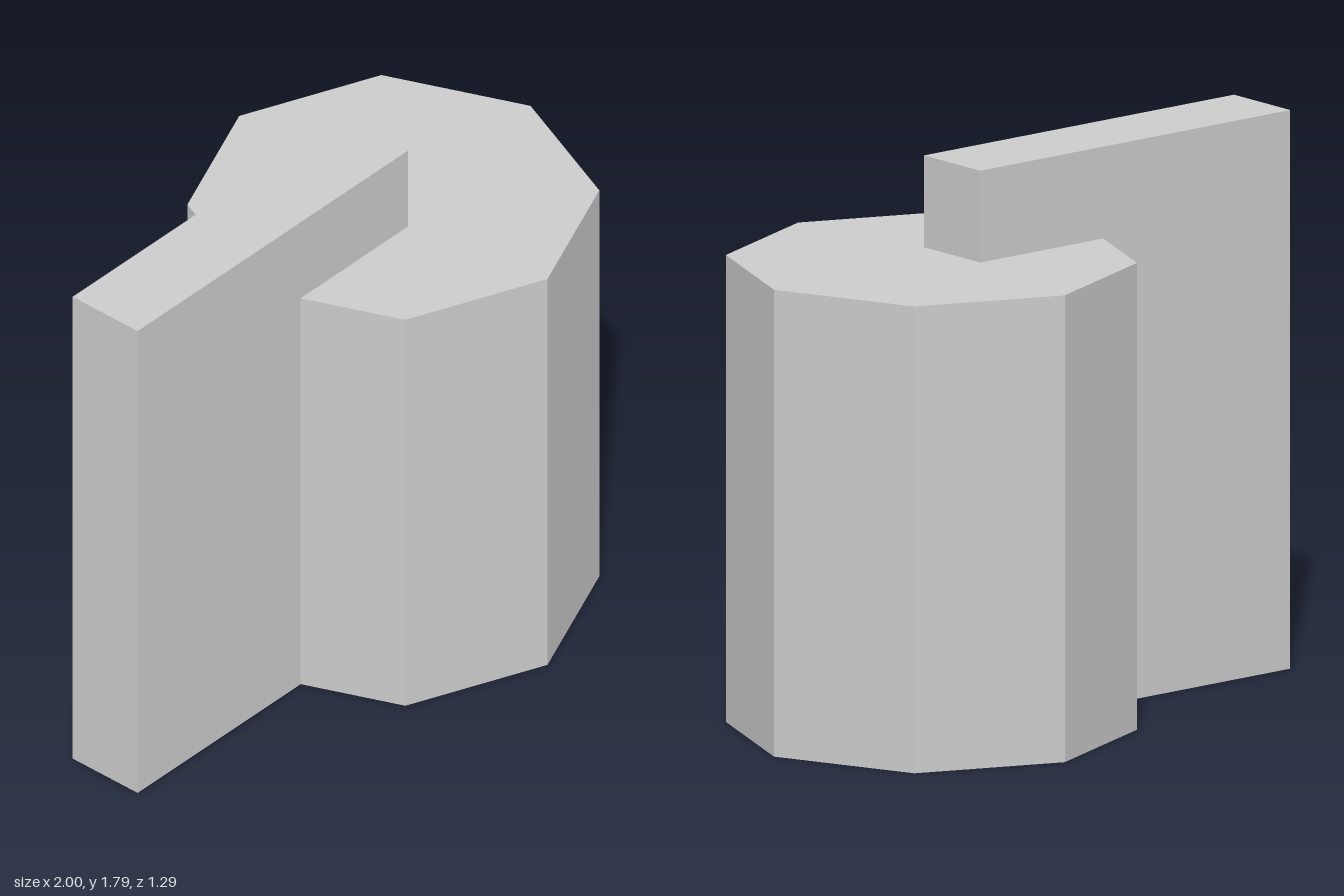
import * as THREE from 'three';

export function createModel() {
  const group = new THREE.Group();
  const material = new THREE.MeshStandardMaterial({ color: 0xcccccc, flatShading: true });

  // Eight-sided column with a corner pointing along +x
  const radius = 0.645, height = 1.5;
  const column = new THREE.Mesh(new THREE.CylinderGeometry(radius, radius, height, 8), material);
  column.name = 'octagonalColumn';
  column.position.set(1 - radius, height / 2, 0);
  group.add(column);

  // Upright slab whose top arm reaches over the column
  const top = 1.795, thickness = 0.272, wallEnd = -0.235, armEnd = 0.27;
  const profile = new THREE.Shape([
    [-1, 0], [wallEnd, 0], [wallEnd, height], [armEnd, height], [armEnd, top], [-1, top],
  ].map(([x, y]) => new THREE.Vector2(x, y)));
  const slabGeometry = new THREE.ExtrudeGeometry(profile, { depth: thickness, bevelEnabled: false });
  slabGeometry.translate(0, 0, -thickness / 2);
  const slab = new THREE.Mesh(slabGeometry, material);
  slab.name = 'slabWithArm';
  group.add(slab);

  return group;
}
